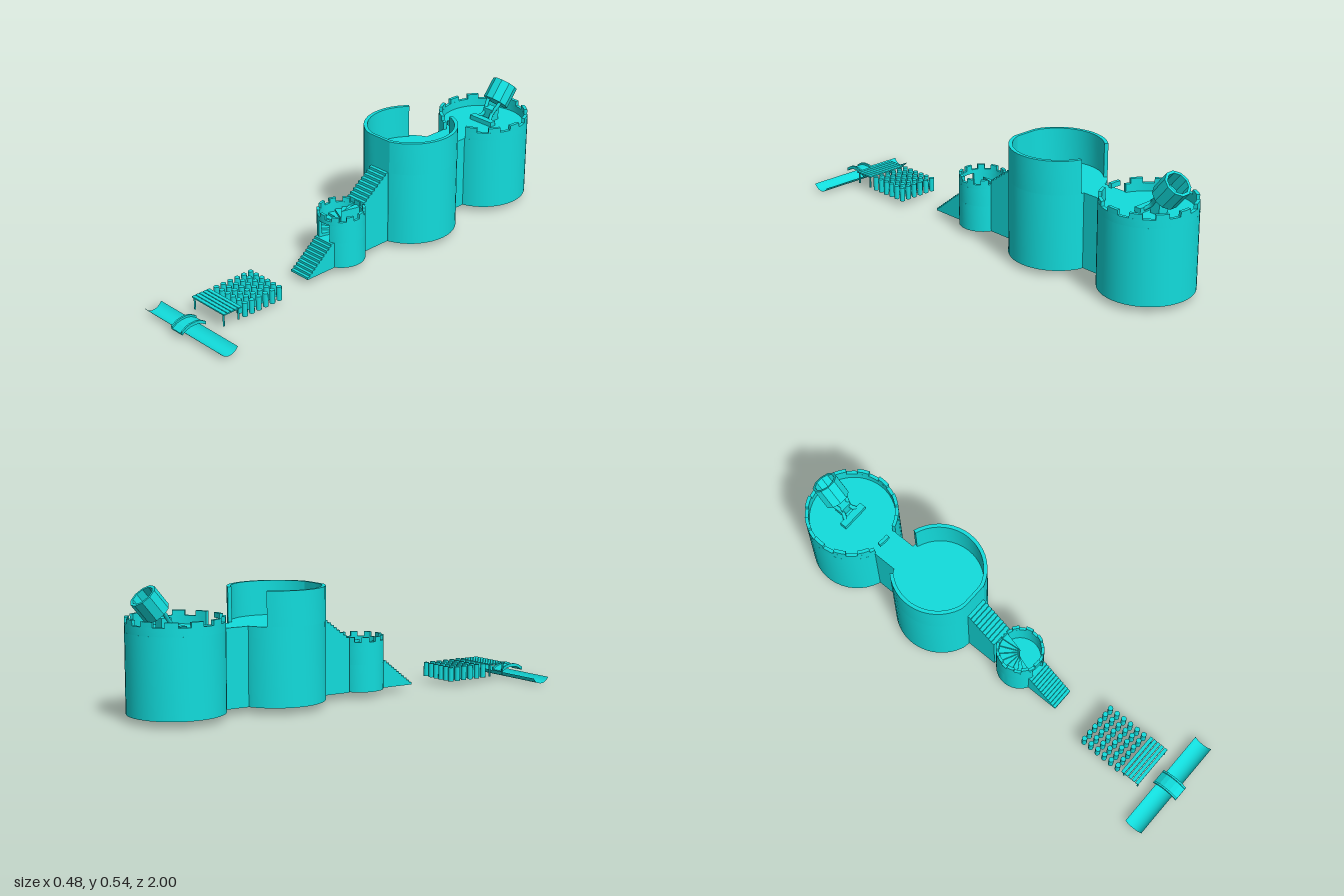
import * as THREE from 'three';
import { toCreasedNormals } from 'three/addons/utils/BufferGeometryUtils.js';

const BASE = 0.026;
const mat = new THREE.MeshStandardMaterial({ color: 0x12dcdc, side: THREE.DoubleSide });

export function createModel() {
  const root = new THREE.Group();

  const add = (parent, name, geo, x = 0, y = 0, z = 0) => {
    const m = new THREE.Mesh(geo, mat);
    m.name = name;
    m.position.set(x, y, z);
    parent.add(m);
    return m;
  };
  const group = (name, x = 0, z = 0) => {
    const g = new THREE.Group();
    g.name = name;
    g.position.set(x, 0, z);
    root.add(g);
    return g;
  };
  const box = (parent, name, x0, x1, y0, y1, z0, z1) =>
    add(parent, name, new THREE.BoxGeometry(x1 - x0, y1 - y0, z1 - z0),
      (x0 + x1) / 2, (y0 + y1) / 2, (z0 + z1) / 2);

  // Points on an arc; angle PI/2 is the back, -PI/2 the front. clip flattens front and back.
  const arc = (r, a0, a1, clip = 9) => {
    const n = Math.max(2, Math.ceil(Math.abs(a1 - a0) / 0.14));
    return Array.from({ length: n + 1 }, (_, i) => {
      const a = a0 + ((a1 - a0) * i) / n;
      return new THREE.Vector2(r * Math.cos(a), THREE.MathUtils.clamp(r * Math.sin(a), -clip, clip));
    });
  };
  // Upright prism over a plan outline
  const prism = (pts, y0, y1) => {
    const g = new THREE.ExtrudeGeometry(new THREE.Shape(pts), { depth: y1 - y0, bevelEnabled: false });
    g.rotateX(-Math.PI / 2).translate(0, y0, 0);
    return toCreasedNormals(g, 0.3);
  };
  const wall = (ri, ro, a0, a1, y0, y1, clip = 9, thick = ro - ri) =>
    prism([...arc(ro, a0, a1, clip), ...arc(ri, a1, a0, clip - thick)], y0, y1);
  const disc = (r, y0, y1, clip = 9) => prism(arc(r, 0, Math.PI * 2 - 0.14, clip), y0, y1);
  const merlons = (g, ri, ro, y0, y1, n, start) => {
    const step = (Math.PI * 2) / n;
    for (let i = 0; i < n; i++) {
      const a = start + i * step;
      add(g, 'merlon', wall(ri, ro, a, a + step * 0.52, y0, y1));
    }
  };
  // Side profile of [z, y] points swept across x0..x1
  const sweep = (pts, x0, x1) => {
    const s = new THREE.Shape(pts.map(p => new THREE.Vector2(p[0], p[1])));
    const g = new THREE.ExtrudeGeometry(s, { depth: x1 - x0, bevelEnabled: false });
    return g.rotateY(-Math.PI / 2).translate(x1, 0, 0);
  };
  // Solid staircase climbing towards the back
  const stairs = (name, x0, x1, zFront, zBack, y0, y1, n, zEnd) => {
    const pts = [[zFront, BASE]];
    for (let i = 0; i < n; i++) {
      const z = zFront + ((zBack - zFront) * i) / n;
      const y = y0 + ((y1 - y0) * (i + 1)) / n;
      pts.push([z, y], [i < n - 1 ? z + (zBack - zFront) / n : zEnd, y]);
    }
    pts.push([zEnd, BASE]);
    add(root, name, sweep(pts, x0, x1));
  };

  // Channel: shallow open trough with an arched footbridge over it
  const channel = group('channel');
  const trough = new THREE.CylinderGeometry(0.0486, 0.0486, 0.48, 16, 1, true, -Math.PI / 2 - 1.06, 2.12);
  add(channel, 'trough', trough.rotateZ(Math.PI / 2), 0, 0.0486, 0.935);
  const archBand = (lo, hi) => {
    const plan = [[1, 0], [0.975, 0.75], [0.955, 1], [0.925, 1], [0.905, 0.75], [0.88, 0]];
    const at = (h, p) => [p[0], 0.03 + h + p[1] * 0.02];
    return [...plan.map(p => at(hi, p)), ...plan.map(p => at(lo, p)).reverse()];
  };
  add(channel, 'bridgeDeck', sweep(archBand(-0.003, 0.002), -0.035, 0.03));
  for (const x of [-0.037, 0.024]) add(channel, 'bridgeRail', sweep(archBand(-0.003, 0.011), x, x + 0.008));

  // Plank platform on four thin legs
  const platform = group('plankPlatform');
  for (let i = 0; i < 5; i++) {
    const z = 0.752 + i * 0.0188;
    box(platform, 'plank', -0.1, 0.1, 0.079, 0.085, z, z + 0.0155);
  }
  for (const x of [-0.09, 0.09]) for (const z of [0.762, 0.837]) {
    add(platform, 'leg', new THREE.CylinderGeometry(0.004, 0.004, 0.052, 8), x, BASE + 0.027, z);
  }

  // Field of short posts
  const posts = group('posts');
  for (let i = 0; i < 6; i++) for (let j = 0; j < 6; j++) {
    add(posts, 'post', new THREE.CylinderGeometry(0.0115, 0.0115, 0.062, 10),
      -0.088 + i * 0.035, BASE + 0.031, 0.543 + j * 0.0364);
  }

  // Lower stairs and gate tower with an inner spiral stair
  stairs('lowerStairs', -0.052, 0.05, 0.353, 0.205, BASE, 0.143, 11, 0.13);
  const gate = group('gateTower', -0.002, 0.112);
  const door = 0.31, front = -Math.PI / 2;
  add(gate, 'base', disc(0.1025, BASE, 0.143));
  add(gate, 'wall', wall(0.09, 0.1025, front + door, front + Math.PI * 2 - door, 0.143, 0.222));
  add(gate, 'upperWall', wall(0.09, 0.1025, front, front + Math.PI * 2, 0.222, 0.24));
  merlons(gate, 0.09, 0.1025, 0.24, 0.26, 10, 0.1);
  for (let i = 0; i < 9; i++) {
    const a = -1.9 - i * 0.34;
    add(gate, 'spiralStep', prism([new THREE.Vector2(0, 0), ...arc(0.091, a, a - 0.34)], 0.142, 0.155 + i * 0.0105));
  }

  // Upper stairs
  stairs('upperStairs', -0.062, 0.038, 0.018, -0.126, 0.25, 0.355, 9, -0.2);

  // Great tower: flat front panel, open at the back
  const great = group('greatTower', -0.019, -0.319);
  add(great, 'base', disc(0.203, BASE, 0.355, 0.193));
  add(great, 'wall', wall(0.187, 0.203, -3.9, 1.25, 0.355, 0.5, 0.193, 0.014));

  // Link between the two large towers
  box(root, 'linkWalk', -0.1, 0.03, BASE, 0.355, -0.64, -0.48);

  // Rear tower with battlements, open where the link arrives
  const rear = group('rearTower', -0.033, -0.8);
  add(rear, 'base', disc(0.2, BASE, 0.355));
  add(rear, 'wall', wall(0.185, 0.2, front + 0.33, front + Math.PI * 2 - 0.33, 0.355, 0.39));
  merlons(rear, 0.185, 0.2, 0.39, 0.411, 12, front + 0.33);

  // Mortar: foot, two arms and a tilted hollow barrel
  const mortar = group('mortar', -0.033, -0.8);
  box(mortar, 'foot', -0.062, 0.063, 0.354, 0.376, -0.012, 0.018);
  for (const s of [-1, 1]) {
    const path = new THREE.CatmullRomCurve3([
      new THREE.Vector3(s * 0.042, 0.362, 0.0),
      new THREE.Vector3(s * 0.022, 0.385, -0.03),
      new THREE.Vector3(s * 0.032, 0.425, -0.062),
      new THREE.Vector3(s * 0.036, 0.45, -0.085),
    ]);
    add(mortar, 'arm', new THREE.TubeGeometry(path, 8, 0.009, 6));
  }
  box(mortar, 'pedestal', -0.025, 0.025, 0.354, 0.41, -0.075, -0.03);
  const profile = [[0, -0.048], [0.059, -0.048], [0.059, 0.048], [0.047, 0.048], [0.047, -0.025], [0, -0.025]]
    .map(p => new THREE.Vector2(p[0], p[1]));
  const barrel = toCreasedNormals(new THREE.LatheGeometry(profile, 10, Math.PI / 10), 0.3);
  add(mortar, 'barrel', barrel, 0, 0.465, -0.112).rotation.x = -0.7;

  return root;
}
